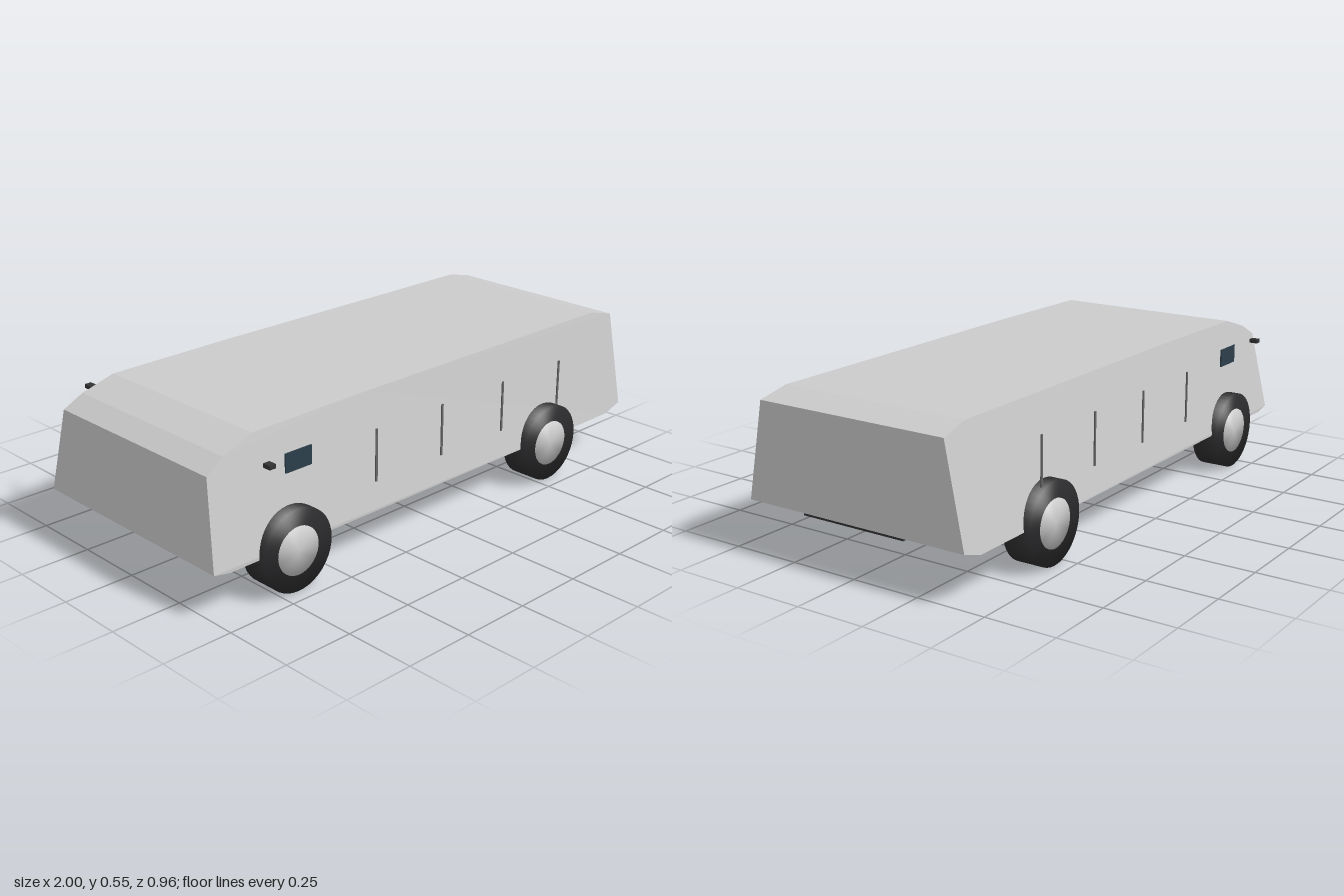
import * as THREE from 'three';
import { mergeVertices } from 'three/addons/utils/BufferGeometryUtils.js';

const mat = (color) => new THREE.MeshStandardMaterial({ color });

function add(parent, name, geometry, material, x = 0, y = 0, z = 0) {
  const mesh = new THREE.Mesh(geometry, material);
  mesh.name = name;
  mesh.position.set(x, y, z);
  parent.add(mesh);
  return mesh;
}

// Side profile extruded across the width, with the sides leaning inward
function bodyGeometry() {
  const profile = [
    [-1, 0.163], [-0.94, 0.151], [0.92, 0.151], [1, 0.177], [1, 0.52],
    [0.89, 0.547], [-0.3, 0.546], [-0.78, 0.54], [-0.9, 0.5], [-0.97, 0.458],
  ];
  const shape = new THREE.Shape(profile.map(([x, y]) => new THREE.Vector2(x, y)));
  const geo = new THREE.ExtrudeGeometry(shape, { depth: 2, bevelEnabled: false });
  const p = geo.attributes.position;
  for (let i = 0; i < p.count; i++) {
    const t = Math.max(0, (p.getY(i) - 0.177) / 0.37);
    p.setZ(i, (p.getZ(i) - 1) * (0.43 - 0.073 * t));
  }
  geo.computeVertexNormals();
  return geo;
}

// Cylinder along z whose rim is shaded smoothly into its caps
function softDisc(radius, width) {
  const geo = new THREE.CylinderGeometry(radius, radius, width, 40).rotateX(Math.PI / 2);
  geo.deleteAttribute('normal');
  geo.deleteAttribute('uv');
  const merged = mergeVertices(geo, 1e-4);
  merged.computeVertexNormals();
  return merged;
}

export function createModel() {
  const model = new THREE.Group();
  model.name = 'van';
  const grey = mat(0xcccccc);
  const rubber = mat(0x2a2a2c);
  const dark = mat(0x333333);
  const trim = mat(0x666666);
  const glass = mat(0x2c3e4a);

  add(model, 'body', bodyGeometry(), grey);

  const tyreGeo = softDisc(0.142, 0.1);
  const hubGeo = softDisc(0.083, 0.106);
  const railGeo = new THREE.BoxGeometry(0.008, 0.185, 0.004);
  const windowGeo = new THREE.BoxGeometry(0.108, 0.065, 0.005);
  const mirrorGeo = new THREE.BoxGeometry(0.025, 0.014, 0.03);

  for (const side of [1, -1]) {
    const half = new THREE.Group();
    half.name = side > 0 ? 'frontSideFittings' : 'backSideFittings';
    model.add(half);

    // Wheels
    for (const x of [-0.682, 0.556]) {
      const wheel = new THREE.Group();
      wheel.name = 'wheel';
      wheel.position.set(x, 0.142, side * 0.4);
      add(wheel, 'tyre', tyreGeo, rubber);
      add(wheel, 'hub', hubGeo, grey);
      half.add(wheel);
    }

    // Upright trim strips along the side
    for (let i = 0; i < 4; i++) {
      add(half, 'doorStrip', railGeo, trim, -0.324 + i * 0.31, 0.352, side * 0.433);
    }

    add(half, 'sideWindow', windowGeo, glass, -0.654, 0.437, side * 0.426);
    add(half, 'mirror', mirrorGeo, dark, -0.803, 0.472, side * 0.465);
  }

  // Thin bar at the lower edge of the tail
  add(model, 'tailBar', new THREE.BoxGeometry(0.04, 0.007, 0.4), dark, 0.978, 0.1725, 0);

  return model;
}
